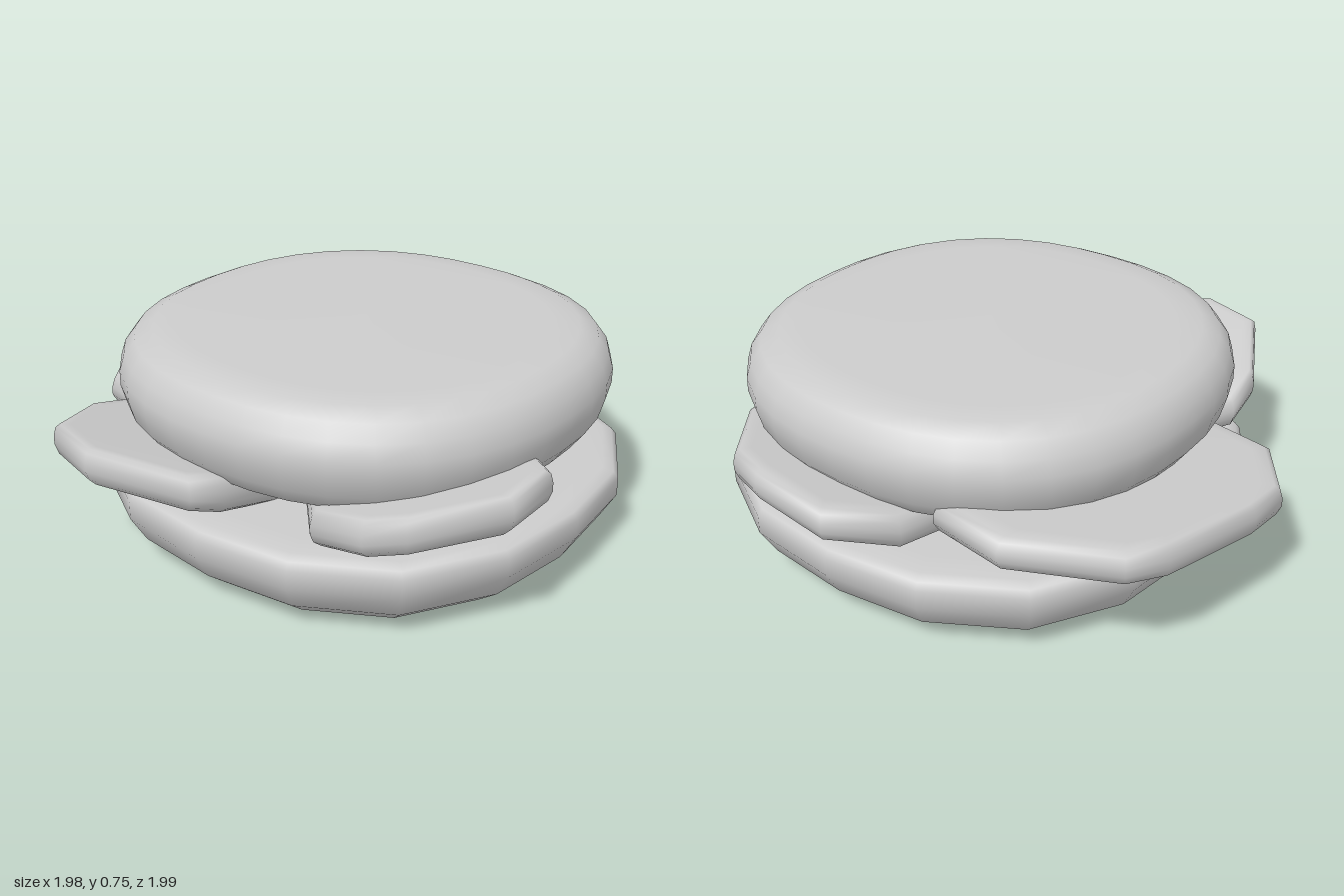
import * as THREE from 'three';

const material = new THREE.MeshStandardMaterial({ color: 0xcccccc });

// Closed solid: an outline of [x, z] points about its centre, scaled along a
// bottom-to-top profile of [scale, height]; lift(x, z) tilts it.
function loft(name, outline, [cx, cz], profile, lift = () => 0) {
  const n = outline.length;
  const positions = [];
  const index = [];
  profile.forEach(([s, h], k) => {
    outline.forEach(([px, pz], j) => {
      const x = cx + (px - cx) * s;
      const z = cz + (pz - cz) * s;
      positions.push(x, h + lift(x, z), z);
      if (k === profile.length - 1) return;
      const a = k * n + j;
      const b = k * n + ((j + 1) % n);
      index.push(a, a + n, b, b, a + n, b + n);
    });
  });
  const geometry = new THREE.BufferGeometry();
  geometry.setAttribute('position', new THREE.Float32BufferAttribute(positions, 3));
  geometry.setIndex(index);
  geometry.computeVertexNormals();
  const mesh = new THREE.Mesh(geometry, material);
  mesh.name = name;
  return mesh;
}

// Slightly squared circle
function roundOutline([cx, cz], radius, sides, power) {
  return Array.from({ length: sides }, (_, i) => {
    const t = (i / sides) * Math.PI * 2;
    const c = Math.cos(t);
    const s = Math.sin(t);
    const r = radius * (Math.abs(c) ** power + Math.abs(s) ** power) ** (-1 / power);
    return [cx + c * r, cz + s * r];
  });
}

// Rounded rim shared by all slices
const sliceProfile = [
  [0, -0.065], [0.78, -0.065], [0.9, -0.062], [0.97, -0.042], [1, -0.012],
  [1, 0.018], [0.98, 0.05], [0.94, 0.065], [0.85, 0.068], [0, 0.068],
];

// Irregular slices, each on its own tilted plane
const slices = [
  {
    name: 'backSlice',
    outline: [[-0.33, -0.83], [-0.08, -1], [0.1, -1], [0.5, -0.93], [0.63, -0.86], [0.81, -0.53],
      [0.76, -0.25], [0.45, -0.12], [0, -0.17], [-0.35, -0.35], [-0.39, -0.55]],
    lift: (x) => 0.352 + 0.1 * x,
  },
  {
    name: 'leftSlice',
    outline: [[0.82, -0.17], [0.99, 0], [0.97, 0.3], [0.93, 0.44], [0.66, 0.66], [0.4, 0.75],
      [0.15, 0.6], [0.05, 0.3], [0.12, 0], [0.4, -0.18]],
    lift: (x, z) => 0.44 + 0.2 * (x - 0.97) + 0.1 * (z - 0.3),
  },
  {
    name: 'frontSlice',
    outline: [[-0.08, 0.85], [-0.2, 0.98], [-0.43, 0.99], [-0.66, 0.78], [-0.72, 0.66], [-0.7, 0.45],
      [-0.45, 0.22], [-0.2, 0.25], [-0.05, 0.5]],
    lift: (x, z) => 0.47 + 0.22 * (z - 0.98),
  },
  {
    name: 'rightSlice',
    outline: [[-0.99, -0.21], [-0.92, -0.44], [-0.64, -0.59], [-0.48, -0.6], [-0.3, -0.42],
      [-0.25, -0.1], [-0.45, 0.15], [-0.75, 0.15], [-0.85, 0.1]],
    lift: (x, z) => 0.46 - 0.27 * (x + 0.97) - 0.06 * (z + 0.21),
  },
];

export function createModel() {
  const group = new THREE.Group();
  group.name = 'sandwich';

  // Bottom bun
  const bottomCentre = [0.05, 0.075];
  group.add(loft('bottomBun', roundOutline(bottomCentre, 0.865, 16, 2.4), bottomCentre, [
    [0, 0], [0.75, 0], [0.83, 0.004], [0.94, 0.08], [1, 0.17], [1, 0.235], [0.98, 0.258],
    [0.94, 0.27], [0.85, 0.272], [0, 0.272],
  ]));

  // Slices poking out between the buns
  for (const { name, outline, lift } of slices) {
    const centre = [0, 1].map((i) => outline.reduce((sum, p) => sum + p[i], 0) / outline.length);
    group.add(loft(name, outline, centre, sliceProfile, lift));
  }

  // Top bun
  const topCentre = [0.03, 0.09];
  group.add(loft('topBun', roundOutline(topCentre, 0.81, 36, 2.26), topCentre, [
    [0, 0.35], [0.6, 0.35], [0.8, 0.37], [0.92, 0.415], [0.975, 0.475], [1, 0.55], [1, 0.6],
    [0.98, 0.655], [0.935, 0.705], [0.86, 0.733], [0.75, 0.738], [0.4, 0.742], [0, 0.745],
  ]));

  return group;
}
